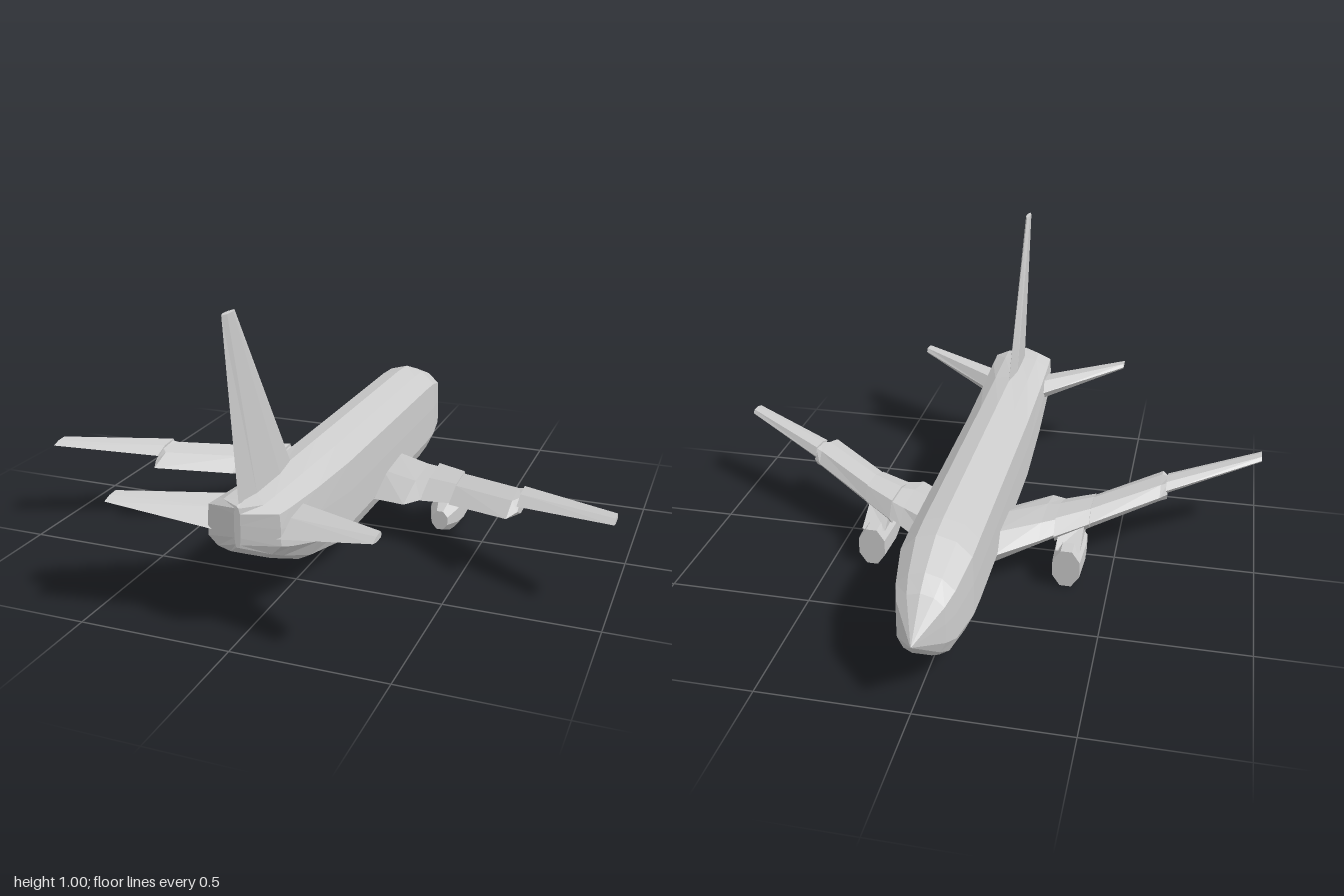
import * as THREE from 'three';

const material = new THREE.MeshStandardMaterial({ color: 0xcccccc, flatShading: true });

// Closed faceted solid through equal-sized rings of [x, y, z], capped at both ends.
function loft(name, rings, side = 1) {
  const R = rings.map(r => r.map(([x, y, z]) => new THREE.Vector3(x * side, y, z)));
  const n = R[0].length, tris = [];
  for (let i = 0; i < R.length - 1; i++) {
    for (let j = 0; j < n; j++) {
      const k = (j + 1) % n;
      tris.push([R[i][j], R[i][k], R[i + 1][k]], [R[i][j], R[i + 1][k], R[i + 1][j]]);
    }
  }
  for (const [ring, flip] of [[R[0], true], [R[R.length - 1], false]]) {
    const c = ring.reduce((s, p) => s.add(p), new THREE.Vector3()).divideScalar(n);
    for (let j = 0; j < n; j++) {
      const a = ring[j], b = ring[(j + 1) % n];
      tris.push(flip ? [c, b, a] : [c, a, b]);
    }
  }
  // Turn the faces outward whichever way the rings run
  const volume = tris.reduce((s, [a, b, c]) => s + a.dot(b.clone().cross(c)), 0);
  if (volume < 0) tris.forEach(t => t.reverse());
  const geometry = new THREE.BufferGeometry().setFromPoints(tris.flat());
  geometry.computeVertexNormals();
  const mesh = new THREE.Mesh(geometry, material);
  mesh.name = name;
  return mesh;
}

// Airfoil ring at span x, from leading edge z0 to trailing edge z1
function airfoil([x, z0, z1, low, high, trail = low + (high - low) * 0.4]) {
  const at = t => z0 + (z1 - z0) * t;
  const h = high - low;
  return [
    [x, low + h * 0.4, z0], [x, high, at(0.14)], [x, high - h * 0.12, at(0.6)],
    [x, trail, z1], [x, low, at(0.6)], [x, low, at(0.12)],
  ];
}

// Fuselage ring: half width, bottom and top at station z
function hullRing([z, w, bottom, top]) {
  const half = [[0.55, 0.95], [0.97, 0.82], [1, 0.55], [1, 0.24], [0.75, 0.07], [0.4, 0]];
  const profile = [[0, 1], ...half, ...half.slice().reverse().map(([x, v]) => [-x, v])];
  return profile.map(([x, v]) => [x * w, bottom + (top - bottom) * v, z]);
}

// Engine ring: half width, bottom and top at station z, around x = 0.35
function engineRing([z, w, bottom, top]) {
  return Array.from({ length: 8 }, (_, i) => {
    const a = (i + 0.5) * Math.PI / 4, s = 1 / Math.cos(Math.PI / 8);
    return [0.352 + w * s * Math.cos(a),
      (bottom + top) / 2 + (top - bottom) / 2 * s * Math.sin(a), z];
  });
}

export function createModel() {
  const model = new THREE.Group();
  model.name = 'airliner';

  // Body, nose towards -z
  model.add(loft('fuselage', [
    [-0.975, 0.002, 0.225, 0.23], [-0.86, 0.077, 0.12, 0.34], [-0.8, 0.096, 0.08, 0.375],
    [-0.66, 0.119, 0.058, 0.425], [-0.56, 0.12, 0.05, 0.432], [0.31, 0.12, 0.05, 0.435],
    [0.59, 0.12, 0.125, 0.435], [0.8, 0.12, 0.222, 0.435], [0.875, 0.118, 0.262, 0.435],
    [0.92, 0.01, 0.3, 0.43],
  ].map(hullRing)));

  // Tail fin, lens-shaped in plan
  const finRing = (y, z0, z1, t) => [
    [0, y, z0], [t, y, z0 + (z1 - z0) * 0.3], [t, y, z0 + (z1 - z0) * 0.75],
    [0, y, z1], [-t, y, z0 + (z1 - z0) * 0.75], [-t, y, z0 + (z1 - z0) * 0.3],
  ];
  model.add(loft('tailFin', [finRing(0.42, 0.525, 0.905, 0.015), finRing(1.005, 0.895, 0.975, 0.008)]));

  // Wing panels, root to tip: span x, leading z, trailing z, underside y, top y
  const panels = {
    innerWing: [[0.1, -0.3, 0.06, 0.09, 0.205], [0.25, -0.205, 0.135, 0.13, 0.21], [0.3, -0.17, 0.1, 0.145, 0.215]],
    engineWing: [[0.298, -0.18, 0.1, 0.135, 0.225], [0.412, -0.1, 0.13, 0.16, 0.235]],
    middleWing: [[0.41, -0.09, 0.13, 0.155, 0.23], [0.645, 0.07, 0.285, 0.205, 0.268], [0.67, 0.09, 0.23, 0.21, 0.275]],
    outerWing: [[0.665, 0.085, 0.225, 0.235, 0.28], [1, 0.3, 0.38, 0.295, 0.315]],
    stabilizer: [[0.1, 0.67, 0.88, 0.295, 0.372], [0.425, 0.872, 0.948, 0.385, 0.405]],
  };
  for (const [label, side] of [['left', 1], ['right', -1]]) {
    for (const [part, stations] of Object.entries(panels)) {
      model.add(loft(`${label} ${part}`, stations.map(airfoil), side));
    }
    // Nacelle and the short pylon joining it to the wing
    model.add(loft(`${label} engine`, [
      [-0.23, 0.048, 0.008, 0.147], [-0.1, 0.053, 0.004, 0.147],
      [-0.03, 0.05, 0.018, 0.142], [0.03, 0.028, 0.042, 0.11],
    ].map(engineRing), side));
    model.add(loft(`${label} pylon`, [
      [[0.31, 0.13, -0.2], [0.395, 0.13, -0.2], [0.395, 0.13, -0.02], [0.31, 0.13, -0.02]],
      [[0.31, 0.185, -0.12], [0.395, 0.185, -0.1], [0.395, 0.185, 0], [0.31, 0.185, 0]],
    ], side));
  }
  return model;
}
